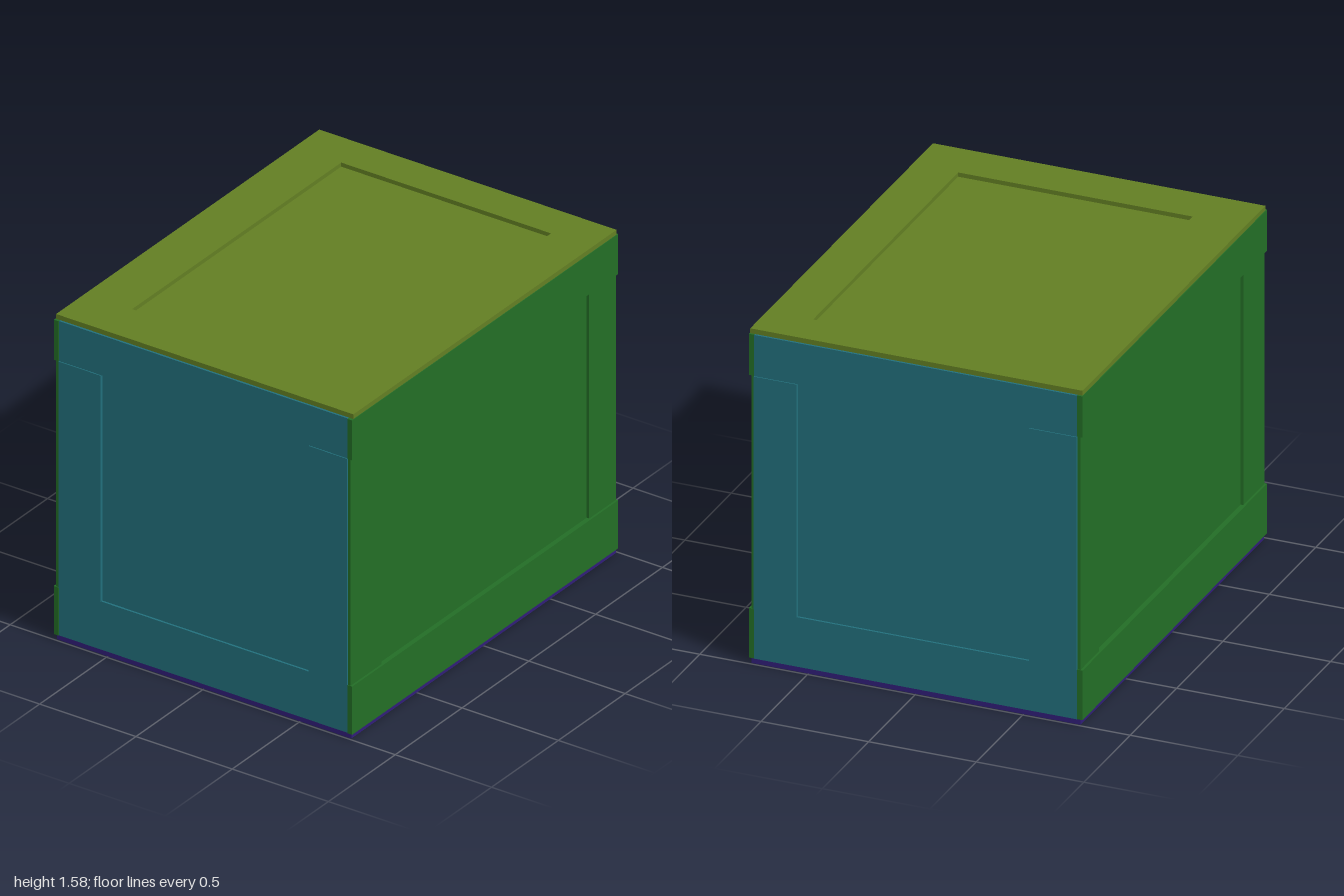
import * as THREE from 'three';

const material = (color) => new THREE.MeshStandardMaterial({ color });

export function createModel() {
  const model = new THREE.Group();
  model.name = 'crate';
  const endMat = material(0x22707c);
  const sideMat = material(0x236e26);
  const lidMat = material(0x637f23);
  const baseMat = material(0x301d78);

  // A board given by its extents on each axis
  function board(parent, name, mat, [x0, x1], [y0, y1], [z0, z1]) {
    const mesh = new THREE.Mesh(new THREE.BoxGeometry(x1 - x0, y1 - y0, z1 - z0), mat);
    mesh.position.set((x0 + x1) / 2, (y0 + y1) / 2, (z0 + z1) / 2);
    mesh.name = name;
    parent.add(mesh);
  }
  function group(name) {
    const g = new THREE.Group();
    g.name = name;
    model.add(g);
    return g;
  }
  // Extent from a to b, mirrored when s is -1
  const span = (s, a, b) => (s > 0 ? [a, b] : [-b, -a]);

  const wall = [0.025, 1.56];
  const middle = [0.26, 1.365];
  const rails = { lowerRail: [0.025, 0.26], upperRail: [1.365, 1.56] };

  // Base
  board(model, 'base', baseMat, [-0.765, 0.765], [0, 0.025], [-0.99, 0.99]);

  for (const s of [1, -1]) {
    // Front and back walls: panel, two rails and two stiles
    const end = group(s > 0 ? 'frontWall' : 'backWall');
    board(end, 'panel', endMat, [-0.75, 0.75], wall, span(s, 0.96, 0.985));
    for (const [name, y] of Object.entries(rails))
      board(end, name, endMat, [-0.75, 0.75], y, span(s, 0.985, 0.995));
    board(end, 'rightStile', endMat, [-0.75, -0.53], middle, span(s, 0.985, 1));
    board(end, 'leftStile', endMat, [0.55, 0.75], middle, span(s, 0.985, 1));

    // Side walls: rails stand proud of the stiles
    const side = group(s > 0 ? 'leftWall' : 'rightWall');
    board(side, 'panel', sideMat, span(s, 0.73, 0.752), wall, [-0.96, 0.96]);
    for (const [name, y] of Object.entries(rails))
      board(side, name, sideMat, span(s, 0.75, 0.775), y, [-0.993, 0.998]);
    board(side, 'frontStile', sideMat, span(s, 0.75, 0.765), middle, [0.765, 0.995]);
    board(side, 'backStile', sideMat, span(s, 0.75, 0.765), middle, [-0.99, -0.79]);
  }

  // Lid: a thin panel with a raised frame
  const lid = group('lid');
  const frameY = [1.56, 1.583];
  board(lid, 'lidPanel', lidMat, [-0.73, 0.73], [1.54, 1.563], [-0.96, 0.96]);
  board(lid, 'rightBoard', lidMat, [-0.772, -0.53], frameY, [-0.985, 0.985]);
  board(lid, 'leftBoard', lidMat, [0.56, 0.772], frameY, [-0.985, 0.985]);
  board(lid, 'backBoard', lidMat, [-0.53, 0.56], frameY, [-0.985, -0.8]);
  board(lid, 'frontBoard', lidMat, [-0.53, 0.56], frameY, [0.765, 0.985]);

  return model;
}
